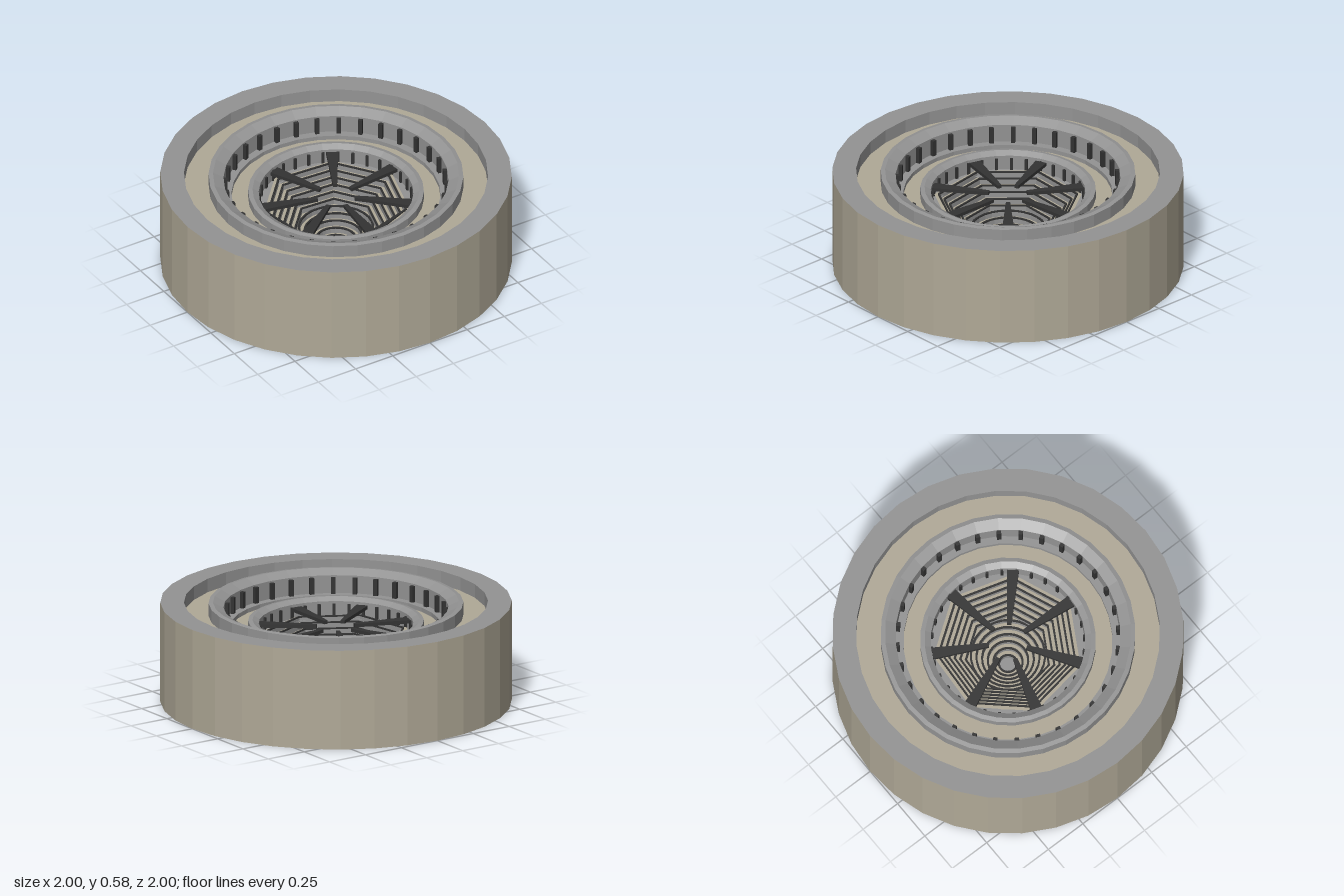
import * as THREE from 'three';

const BEIGE = 0xb0a997, GREY = 0x949494, DARK = 0x333333;
const mats = {};
function mat(color) {
  return mats[color] ??= new THREE.MeshStandardMaterial({ color, flatShading: true, side: THREE.DoubleSide });
}

export function createModel() {
  const root = new THREE.Group();

  // Revolved part from [radius, height] points
  function turned(name, color, points, sides = 32, start = 0, parent = root) {
    const profile = points.map(([r, y]) => new THREE.Vector2(r, y));
    const mesh = new THREE.Mesh(new THREE.LatheGeometry(profile, sides, start), mat(color));
    mesh.name = name;
    parent.add(mesh);
    return mesh;
  }

  // Ring of upright ribs on an inner wall
  function ribs(name, count, radius, bottom, top, width, depth) {
    const group = new THREE.Group();
    group.name = name;
    const geo = new THREE.BoxGeometry(width, top - bottom, depth);
    for (let i = 0; i < count; i++) {
      const a = (i / count) * Math.PI * 2;
      const rib = new THREE.Mesh(geo, mat(DARK));
      rib.name = 'rib';
      rib.position.set(Math.sin(a) * radius, (top + bottom) / 2, Math.cos(a) * radius);
      rib.rotation.y = a;
      group.add(rib);
    }
    root.add(group);
  }

  // Drum with its rim and the concentric terraces inside it
  turned('drum', BEIGE, [[0, 0], [1, 0], [1, 0.585]]);
  turned('rim', GREY, [[1, 0.585], [0.865, 0.585], [0.865, 0.505]]);
  turned('upperTerrace', BEIGE, [[0.865, 0.505], [0.725, 0.505]]);
  turned('outerCollar', GREY, [[0.725, 0.505], [0.725, 0.58], [0.7, 0.584], [0.64, 0.555],
    [0.64, 0.45], [0.595, 0.45], [0.595, 0.425]]);
  turned('lowerTerrace', BEIGE, [[0.595, 0.425], [0.5, 0.425]]);
  turned('innerCollar', GREY, [[0.5, 0.425], [0.5, 0.475], [0.475, 0.48], [0.44, 0.46], [0.44, 0.375]]);
  turned('wellLedge', GREY, [[0.44, 0.375], [0.385, 0.375]]);
  ribs('outerRibs', 32, 0.633, 0.45, 0.545, 0.025, 0.03);
  ribs('innerRibs', 32, 0.436, 0.375, 0.445, 0.016, 0.016);

  // Seven-sided stepped well, its corners below the blades
  const turn = THREE.MathUtils.degToRad(-3.7);
  const well = new THREE.Group();
  well.name = 'steppedWell';
  root.add(well);
  const steps = 12, run = 0.032, drop = 0.028;
  for (let i = 0; i < steps; i++) {
    const r = 0.43 - i * run, y = 0.39 - i * drop;
    const sides = r > 0.24 ? 7 : 28;
    turned('tread', BEIGE, [[r + (sides === 28 ? 0.03 : 0), y], [r - run * 0.65, y]], sides, turn, well);
    turned('nosing', DARK, [[r - run * 0.65, y], [r - run * 0.65, y + 0.008],
      [r - run, y + 0.008], [r - run, y]], sides, turn, well);
    turned('riser', GREY, [[r - run, y], [r - run, y - drop]], sides, turn, well);
  }
  turned('wellFloor', GREY, [[0.06, 0.39 - steps * drop], [0, 0.39 - steps * drop]], 28, turn, well);

  // Seven tapered blades pointing at the centre
  const outline = new THREE.Shape([[-0.034, 0.435], [-0.012, 0.11], [0.012, 0.11], [0.034, 0.435]]
    .map(([x, y]) => new THREE.Vector2(x, y)));
  const bladeGeo = new THREE.ExtrudeGeometry(outline, { depth: 0.02, bevelEnabled: false });
  bladeGeo.rotateX(Math.PI / 2);
  for (let i = 0; i < 7; i++) {
    const blade = new THREE.Mesh(bladeGeo, mat(DARK));
    blade.name = 'blade';
    blade.position.y = 0.445;
    blade.rotation.y = turn + (i / 7) * Math.PI * 2;
    root.add(blade);
  }
  return root;
}
